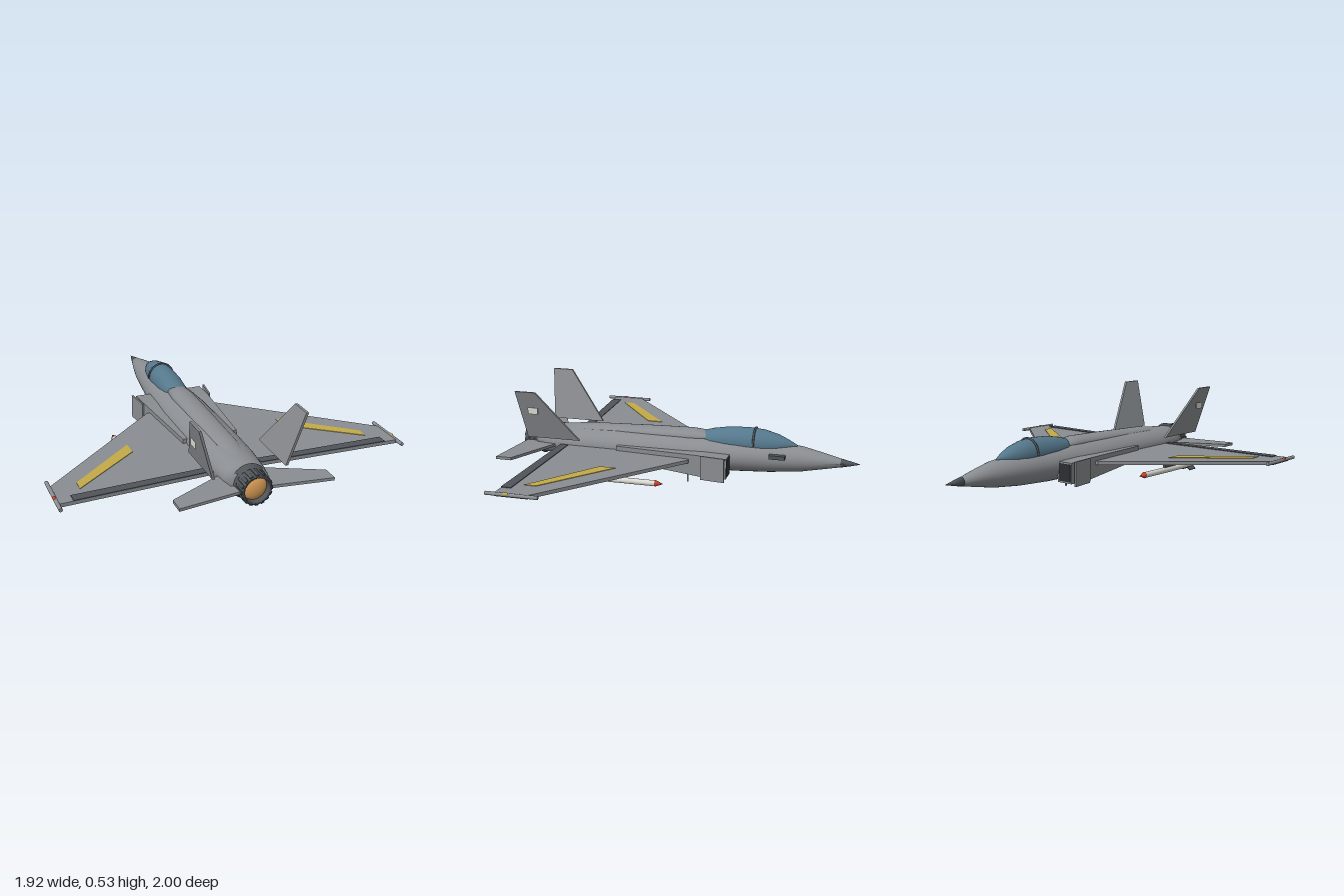
import * as THREE from 'three';

const mat = (name, color) => {
  const m = new THREE.MeshStandardMaterial({ color });
  m.name = name;
  return m;
};

// Closed loft along z through elliptical sections [z, centreX, centreY, halfWidth, halfHeight].
// With sides = 4 the sections are rectangles and the faces stay flat.
function loft(sections, sides = 32) {
  const boxy = sides === 4, pos = [], idx = [];
  const k = boxy ? Math.SQRT2 : 1, a0 = boxy ? Math.PI / 4 : 0;
  for (const [z, cx, cy, w, h] of sections)
    for (let j = 0; j < sides; j++) {
      const a = a0 + (j / sides) * Math.PI * 2;
      pos.push(cx + Math.cos(a) * w * k, cy + Math.sin(a) * h * k, z);
    }
  const last = (sections.length - 1) * sides;
  for (let i = 0; i < last; i += sides)
    for (let j = 0; j < sides; j++) {
      const a = i + j, b = i + (j + 1) % sides;
      idx.push(a, b, a + sides, b, b + sides, a + sides);
    }
  for (let j = 1; j < sides - 1; j++) {
    idx.push(0, j + 1, j);
    idx.push(last, last + j, last + j + 1);
  }
  let g = new THREE.BufferGeometry();
  g.setAttribute('position', new THREE.Float32BufferAttribute(pos, 3));
  g.setIndex(idx);
  if (boxy) g = g.toNonIndexed();
  g.computeVertexNormals();
  return g;
}

const extrude = (pts, depth) => new THREE.ExtrudeGeometry(
  new THREE.Shape(pts.map(([a, b]) => new THREE.Vector2(a, b))), { depth, bevelEnabled: false });

// Horizontal plate from [x, z] points, with its top at the given height
const plate = (pts, top, thick, s) =>
  extrude(pts.map(([x, z]) => [s * x, z]), thick).rotateX(Math.PI / 2).translate(0, top, 0);

// Cylinder or cone lying along z, from z0 (radius r0) to z1 (radius r1)
const rod = (r0, r1, z0, z1, x, y, sides = 16) =>
  new THREE.CylinderGeometry(r1, r0, z1 - z0, sides).rotateX(Math.PI / 2).translate(x, y, (z0 + z1) / 2);

const box = (w, h, d, x, y, z) => new THREE.BoxGeometry(w, h, d).translate(x, y, z);

export function createModel() {
  const group = new THREE.Group();
  group.name = 'jetFighter';
  const grey = mat('airframe grey', 0x8a8d91);
  const dark = mat('dark grey', 0x50555a);
  const black = mat('intake black', 0x2c2f32);
  const glass = mat('canopy blue', 0x55788c);
  const yellow = mat('marking yellow', 0xc4ab48);
  const white = mat('missile white', 0xdadad2);
  const red = mat('warning red', 0xc8432f);
  const orange = mat('exhaust orange', 0xe0a25a);
  const add = (name, geometry, material, parent = group) => {
    const m = new THREE.Mesh(geometry, material);
    m.name = name;
    parent.add(m);
    return m;
  };

  // Fuselage, nose tip and spine
  add('fuselage', loft([
    [-0.9, 0, 0.17, 0.025, 0.023], [-0.8, 0, 0.173, 0.05, 0.045], [-0.68, 0, 0.175, 0.075, 0.07],
    [-0.5, 0, 0.175, 0.098, 0.088], [-0.3, 0, 0.175, 0.12, 0.097], [0, 0, 0.178, 0.14, 0.1],
    [0.4, 0, 0.18, 0.14, 0.1], [0.65, 0, 0.18, 0.135, 0.094], [0.82, 0, 0.18, 0.118, 0.085],
    [0.885, 0, 0.18, 0.105, 0.08]]), grey);
  add('noseTip', loft([[-1, 0, 0.17, 0.001, 0.001], [-0.95, 0, 0.17, 0.014, 0.013],
    [-0.895, 0, 0.17, 0.027, 0.025]]), dark);
  add('spine', loft([[-0.16, 0, 0.265, 0.055, 0.03], [-0.04, 0, 0.265, 0.066, 0.041],
    [0.2, 0, 0.262, 0.066, 0.038], [0.6, 0, 0.256, 0.062, 0.03], [0.8, 0, 0.245, 0.04, 0.016]], 24), grey);

  // Canopy and its hoop
  add('canopy', loft([[-0.65, 0, 0.25, 0.004, 0.003], [-0.6, 0, 0.25, 0.032, 0.03],
    [-0.54, 0, 0.25, 0.056, 0.057], [-0.46, 0, 0.25, 0.071, 0.078], [-0.37, 0, 0.25, 0.077, 0.085],
    [-0.25, 0, 0.25, 0.077, 0.078], [-0.16, 0, 0.25, 0.07, 0.062], [-0.115, 0, 0.25, 0.056, 0.048],
    [-0.095, 0, 0.25, 0.03, 0.03]]), glass);
  const hoop = new THREE.TorusGeometry(0.08, 0.006, 8, 32, Math.PI);
  add('canopyHoop', hoop.scale(0.98, 1.05, 1).translate(0, 0.25, -0.41), dark);

  // Engine nozzle: ring, petals and glowing core
  add('nozzleRing', rod(0.098, 0.086, 0.865, 0.9, 0, 0.18, 32), dark);
  const profile = [[0.085, 0.885], [0.081, 0.97], [0.067, 0.97], [0.067, 0.9]]
    .map(([r, z]) => new THREE.Vector2(r, z));
  const dark2 = dark.clone();
  dark2.side = THREE.DoubleSide;
  add('nozzle', new THREE.LatheGeometry(profile, 24).rotateX(Math.PI / 2).translate(0, 0.18, 0), dark2);
  for (let i = 0; i < 16; i++) {
    const petal = box(0.018, 0.008, 0.075, 0, 0.082, 0.932).rotateZ((i / 16) * Math.PI * 2);
    add('nozzlePetal', petal.translate(0, 0.18, 0), dark);
  }
  add('exhaustGlow', new THREE.SphereGeometry(0.067, 32, 16).scale(1, 1, 0.4).translate(0, 0.18, 0.935), orange);

  // Single details: gun port and belly aerial
  add('gunPort', box(0.03, 0.022, 0.09, 0.098, 0.205, -0.55), dark);
  add('bellyAerial', box(0.006, 0.1, 0.008, 0.065, 0.05, -0.03), grey);

  for (const s of [1, -1]) {
    const side = new THREE.Group();
    side.name = s > 0 ? 'leftSide' : 'rightSide';
    group.add(side);

    // Wing with flap, stripe, tip rail and lamp
    add('wing', plate([[0.08, -0.07], [0.21, -0.07], [0.945, 0.57], [0.945, 0.75], [0.08, 0.715]], 0.184, 0.02, s), grey, side);
    add('flap', plate([[0.14, 0.672], [0.87, 0.692], [0.87, 0.748], [0.14, 0.719]], 0.188, 0.006, s), dark, side);
    add('wingStripe', plate([[0.445, 0.275], [0.81, 0.58], [0.81, 0.645], [0.445, 0.365]], 0.187, 0.004, s), yellow, side);
    add('tipRail', rod(0.01, 0.01, 0.51, 0.8, s * 0.947, 0.178), grey, side);
    add('tipLamp', new THREE.SphereGeometry(0.01, 12, 8).scale(0.9, 1, 2).translate(s * 0.95, 0.182, 0.685),
      s > 0 ? yellow : red, side);

    // Tailplane and canted fin with its badge plate
    add('tailplane', plate([[0.08, 0.74], [0.42, 0.905], [0.42, 0.995], [0.08, 0.95]], 0.18, 0.016, s), grey, side);
    const fin = extrude([[0.575, 0.24], [0.8, 0.53], [0.92, 0.53], [0.89, 0.24]], 0.014)
      .rotateY(-Math.PI / 2).translate(0.007, 0, 0);
    const p = fin.attributes.position;
    for (let i = 0; i < p.count; i++) p.setX(i, p.getX(i) + s * (0.2 + (p.getY(i) - 0.24) * 0.295));
    fin.computeVertexNormals();
    add('tailFin', fin, grey, side);
    add('finBadge', box(0.004, 0.038, 0.06, s * 0.28, 0.42, 0.82), white, side);

    // Air intake: tapering duct, dark mouth, splayed cheek plate
    add('intakeDuct', loft([[-0.285, s * 0.155, 0.145, 0.05, 0.058], [-0.14, s * 0.15, 0.148, 0.05, 0.062],
      [0.37, s * 0.125, 0.17, 0.033, 0.04]], 4), grey, side);
    add('intakeMouth', box(0.08, 0.098, 0.006, s * 0.157, 0.145, -0.285), black, side);
    const cheek = add('intakeCheek', new THREE.BoxGeometry(0.01, 0.138, 0.14), grey, side);
    cheek.position.set(s * 0.219, 0.144, -0.21);
    cheek.rotation.y = -s * 0.13;

    // Missile on its pylon
    const x = s * 0.447, y = 0.12;
    add('pylon', box(0.012, 0.04, 0.2, x, 0.148, 0.33), dark, side);
    add('missileBody', rod(0.016, 0.016, 0.05, 0.5, x, y), white, side);
    add('missileNose', rod(0.0005, 0.018, 0.005, 0.05, x, y), red, side);
    for (const a of [1, -1]) {
      const fins = new THREE.BoxGeometry(0.076, 0.005, 0.06).rotateZ(a * Math.PI / 4);
      add('missileFins', fins.translate(x, y, 0.475), dark, side);
    }
  }
  return group;
}
